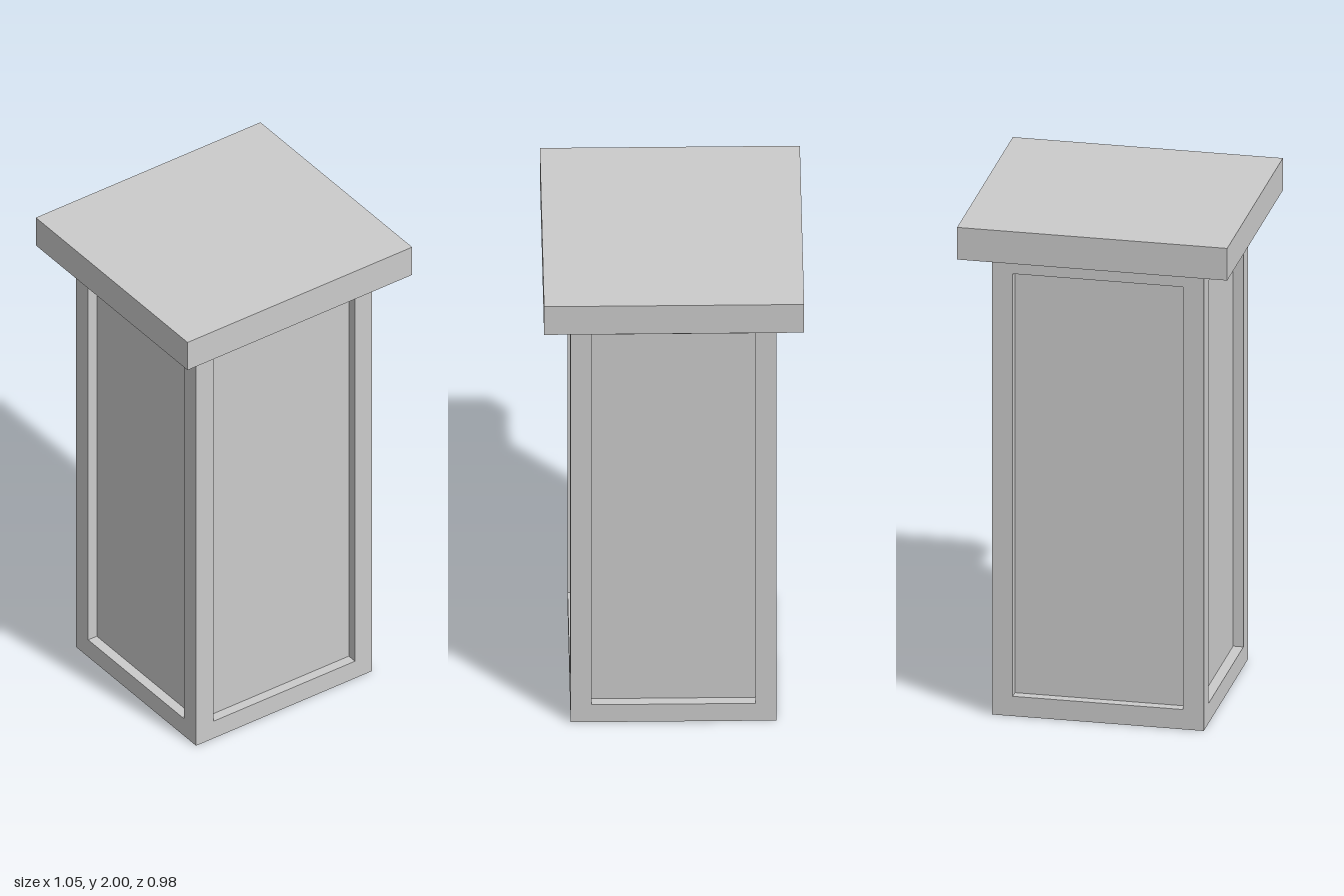
import * as THREE from 'three';

const material = new THREE.MeshStandardMaterial({ color: 0xcccccc, flatShading: true });

const BODY = { w: 0.82, h: 1.87, d: 0.78 };
const CAP = { w: 1.046, h: 0.13, d: 0.984 };
const BORDER = 0.08; // width of the frame around each panel
const RECESS = 0.04; // depth of each sunken panel

function addMesh(parent, name, geometry) {
  const mesh = new THREE.Mesh(geometry, material);
  mesh.name = name;
  parent.add(mesh);
  return mesh;
}

// One wall facing +z: flat border, reveal and sunken panel, from nested rectangles
function panelledWall(width, height) {
  const rect = (inset, z) => {
    const x = width / 2 - inset, y0 = inset, y1 = height - inset;
    return [[-x, y0, z], [x, y0, z], [x, y1, z], [-x, y1, z]];
  };
  const loops = [rect(0, 0), rect(BORDER, 0), rect(BORDER, -RECESS)];
  const points = [];
  const quad = (a, b, c, d) => points.push(...a, ...b, ...c, ...a, ...c, ...d);
  for (let i = 0; i < loops.length - 1; i++) {
    for (let k = 0; k < 4; k++) {
      const n = (k + 1) % 4;
      quad(loops[i][k], loops[i][n], loops[i + 1][n], loops[i + 1][k]);
    }
  }
  quad(...loops[2]);
  const geometry = new THREE.BufferGeometry();
  geometry.setAttribute('position', new THREE.Float32BufferAttribute(points, 3));
  geometry.computeVertexNormals();
  return geometry;
}

export function createModel() {
  const model = new THREE.Group();
  model.name = 'panelledPillar';

  // Four panelled walls of the shaft
  const shaft = new THREE.Group();
  shaft.name = 'shaft';
  model.add(shaft);
  ['frontWall', 'leftWall', 'backWall', 'rightWall'].forEach((name, i) => {
    const [width, offset] = i % 2 ? [BODY.d, BODY.w / 2] : [BODY.w, BODY.d / 2];
    const wall = addMesh(shaft, name, panelledWall(width, BODY.h).translate(0, 0, offset));
    wall.rotation.y = (i * Math.PI) / 2;
  });

  // Underside of the shaft
  addMesh(shaft, 'base', new THREE.PlaneGeometry(BODY.w, BODY.d).rotateX(Math.PI / 2));

  // Overhanging slab on top
  addMesh(model, 'cap', new THREE.BoxGeometry(CAP.w, CAP.h, CAP.d))
    .position.y = BODY.h + CAP.h / 2;

  return model;
}
